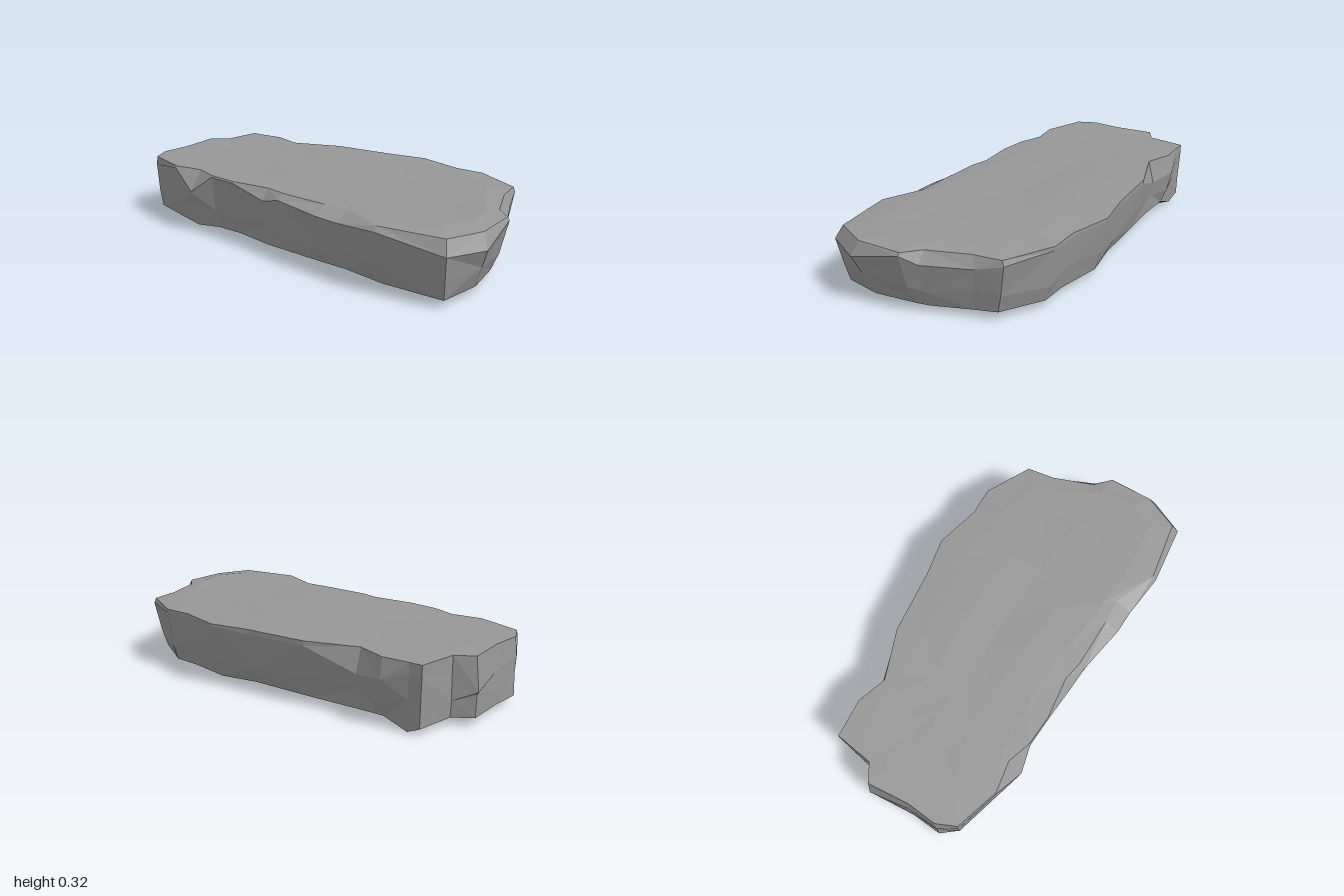
import * as THREE from 'three';

// Widest outline, clockwise from the left end: x, z, shoulder height, rim inset, foot inset
const OUTLINE = [
  [-1.00, -0.09, 0.16, 0.02, 0.01], [-0.90, -0.14, 0.22, 0.00, 0.00],
  [-0.88, -0.33, 0.26, 0.00, 0.01], [-0.82, -0.335, 0.26, 0.00, 0.025],
  [-0.70, -0.37, 0.22, 0.02, 0.05], [-0.55, -0.34, 0.20, 0.03, 0.02],
  [-0.31, -0.41, 0.29, 0.00, 0.06], [0.00, -0.455, 0.29, 0.00, 0.06],
  [0.19, -0.50, 0.30, 0.00, 0.06], [0.41, -0.455, 0.29, 0.00, 0.05],
  [0.55, -0.465, 0.29, 0.00, 0.05], [0.78, -0.37, 0.28, 0.01, 0.06],
  [0.82, -0.25, 0.25, 0.03, 0.05], [0.92, -0.04, 0.25, 0.04, 0.06],
  [0.965, 0.03, 0.29, 0.01, 0.08], [1.00, 0.27, 0.235, 0.04, 0.09],
  [0.92, 0.45, 0.24, 0.04, 0.05], [0.60, 0.495, 0.285, 0.02, 0.07],
  [0.39, 0.475, 0.27, 0.08, 0.06], [0.27, 0.475, 0.275, 0.07, 0.06],
  [0.02, 0.44, 0.285, 0.03, 0.04], [-0.08, 0.435, 0.26, 0.04, 0.03],
  [-0.28, 0.43, 0.305, 0.005, 0.04], [-0.43, 0.425, 0.305, 0.005, 0.04],
  [-0.55, 0.455, 0.215, 0.07, 0.04], [-0.70, 0.42, 0.305, 0.005, 0.03],
  [-0.92, 0.36, 0.27, 0.005, 0.02], [-0.97, 0.27, 0.22, 0.01, 0.00],
  [-0.965, 0.12, 0.20, 0.01, 0.00],
];

const SPINE = 0.6;
const wave = (i, a) => Math.sin(i * a + a);

// Moves an outline point towards the long spine by a distance
function inset([x, z], distance, y) {
  const sx = THREE.MathUtils.clamp(x, -SPINE, SPINE);
  const t = 1 - distance / Math.hypot(x - sx, z);
  return [sx + (x - sx) * t, y, z * t];
}

// Top surface: shrinks an outline point towards the spine, with shallow dips
function topPoint([x, z], t) {
  const px = x * THREE.MathUtils.lerp(SPINE, 1, t);
  const pz = z * t;
  return [px, 0.317 + 0.006 * Math.sin(5 * px + 1.6) * Math.cos(4 * pz), pz];
}

function createSlabGeometry() {
  const ring = (fn) => OUTLINE.map(fn);
  const rings = [
    // underside and foot, with one spur hanging below
    ring(([x, z]) => [x * 0.58, 0.036, z * 0.58]),
    ring((p, i) => inset(p, p[4], i === 3 ? 0 : 0.038 + 0.005 * wave(i, 1.7))),
    // chipped side wall
    ring((p, i) => inset(p, p[4] * 0.5 + 0.004 * wave(i, 2.3), 0.13 + 0.02 * wave(i, 2.1))),
    ring((p) => inset(p, 0, p[2])),
    // bevelled rim
    ring((p) => inset(p, p[3], 0.313 - 0.010 * Math.max(0, p[0]))),
    // gently uneven top, closing on the spine
    ring((p) => topPoint(p, 0.72)),
    ring((p) => topPoint(p, 0.36)),
    ring(([x]) => [x * SPINE, 0.314, 0]),
  ];

  const n = OUTLINE.length;
  const positions = [];
  const tri = (a, b, c) => positions.push(...a, ...b, ...c);
  const bottom = [0, 0.036, 0];
  for (let i = 0; i < n; i++) {
    const j = (i + 1) % n;
    tri(bottom, rings[0][i], rings[0][j]);
    for (let k = 0; k < rings.length - 1; k++) {
      const a = rings[k][i], b = rings[k][j], c = rings[k + 1][i], d = rings[k + 1][j];
      // alternate the diagonals for an irregular chipped look
      if ((i + k) % 2) { tri(a, c, d); tri(a, d, b); }
      else { tri(a, c, b); tri(b, c, d); }
    }
  }

  const geometry = new THREE.BufferGeometry();
  geometry.setAttribute('position', new THREE.Float32BufferAttribute(positions, 3));
  geometry.computeVertexNormals();
  return geometry;
}

export function createModel() {
  const group = new THREE.Group();
  group.name = 'flatRock';
  const material = new THREE.MeshStandardMaterial({ color: 0x979797, flatShading: true });
  const slab = new THREE.Mesh(createSlabGeometry(), material);
  slab.name = 'stoneSlab';
  group.add(slab);
  return group;
}
